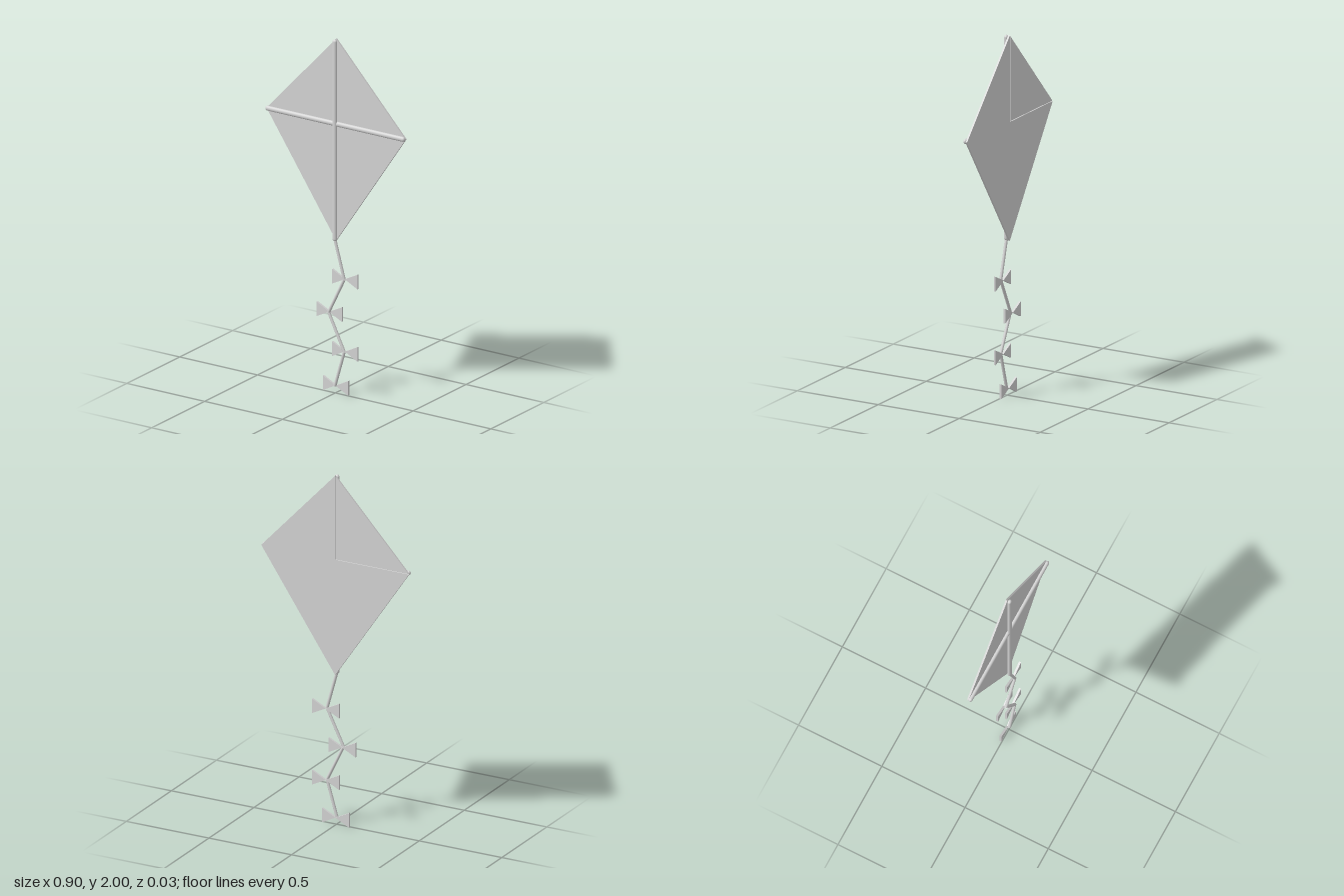
import * as THREE from 'three';

export function createModel() {
  const kite = new THREE.Group();
  kite.name = 'kite';
  const grey = new THREE.MeshStandardMaterial({ color: 0xd5d5d5 });
  grey.name = 'lightGrey';

  function add(name, geometry) {
    const mesh = new THREE.Mesh(geometry, grey);
    mesh.name = name;
    kite.add(mesh);
    return mesh;
  }

  // flat plate from an outline, filling z from back to front
  function plate(name, points, back, front) {
    const shape = new THREE.Shape(points.map(([x, y]) => new THREE.Vector2(x, y)));
    const geometry = new THREE.ExtrudeGeometry(shape, { depth: front - back, bevelEnabled: false });
    add(name, geometry.translate(0, 0, back));
  }

  // round-ended spar, slightly flattened front to back
  function spar(name, length, angle, y, z) {
    const radius = 0.0135;
    const geometry = new THREE.CapsuleGeometry(radius, length - 2 * radius, 5, 16);
    geometry.rotateZ(angle).scale(1, 1, 0.82);
    add(name, geometry).position.set(0, y, z);
  }

  // tail string between two bends
  function string(a, b) {
    const start = new THREE.Vector3(...a, 0.004), end = new THREE.Vector3(...b, 0.004);
    const dir = end.clone().sub(start);
    const mesh = add('tailString', new THREE.CylinderGeometry(0.0085, 0.0085, dir.length(), 10));
    mesh.position.copy(start).add(end).multiplyScalar(0.5);
    mesh.quaternion.setFromUnitVectors(new THREE.Vector3(0, 1, 0), dir.normalize());
  }

  const top = 2, bottom = 0.86, crossY = 1.52, half = 0.447, gap = 0.004;

  // sail: one three-quarter piece and a separate upper panel
  plate('sail', [[0, crossY], [-half, crossY], [0, bottom], [half, crossY], [0, top]], -0.017, -0.007);
  plate('sailPanel', [[-gap, crossY + gap], [-gap, top - gap], [-half + gap, crossY + gap]], -0.017, -0.007);

  // spars
  spar('crossSpar', 0.896, Math.PI / 2, crossY + 0.002, 0);
  spar('spine', top - bottom, 0, (top + bottom) / 2, 0.005);

  // zigzag tail with a bow at each bend
  const bends = [[0, bottom + 0.01], [0.06, 0.655], [-0.04, 0.451], [0.06, 0.246], [0, 0.042]];
  for (let i = 1; i < bends.length; i++) {
    const [x, y] = bends[i];
    string(bends[i - 1], bends[i]);
    for (const side of [-1, 1]) {
      const end = x + side * 0.081;
      plate('bowWing', [[x, y], [end, y - 0.041], [end, y + 0.041]], -0.013, -0.001);
    }
  }
  return kite;
}
